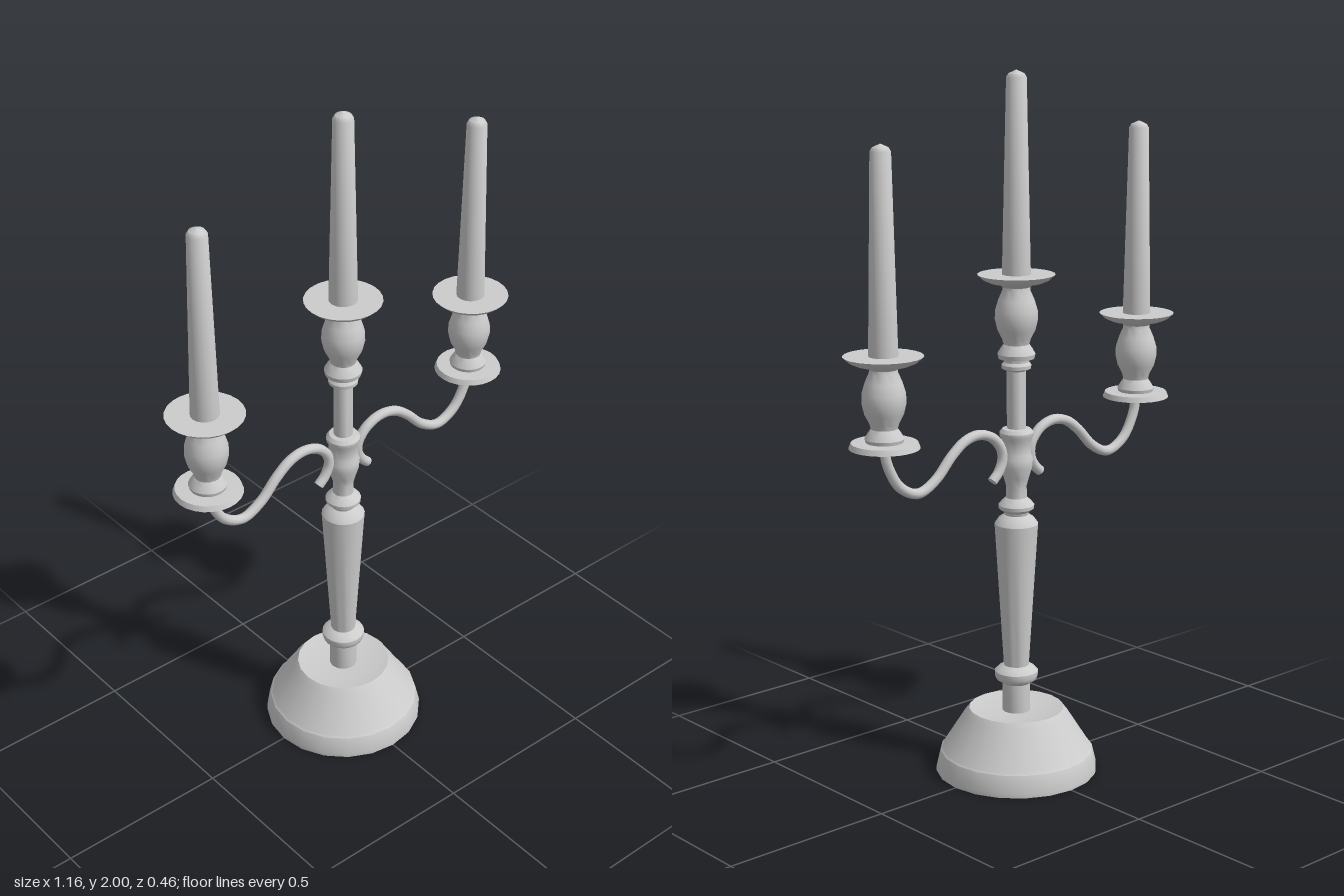
import * as THREE from 'three';
import { toCreasedNormals } from 'three/addons/utils/BufferGeometryUtils.js';

const material = new THREE.MeshStandardMaterial({ color: 0xcccccc, side: THREE.DoubleSide });

// Turned part from [radius, height] pairs, listed from bottom to top
function turned(name, profile, sides = 20) {
  const points = profile.map(([r, y]) => new THREE.Vector2(r, y));
  const mesh = new THREE.Mesh(toCreasedNormals(new THREE.LatheGeometry(points, sides), 0.65), material);
  mesh.name = name;
  return mesh;
}

// Bulb-shaped cup with a flared drip pan; y = 0 is the pan's top
function candleHolder() {
  const group = new THREE.Group();
  group.add(turned('cup', [
    [0, -0.235], [0.05, -0.235], [0.053, -0.222], [0.045, -0.208], [0.036, -0.195], [0.04, -0.18],
    [0.053, -0.155], [0.06, -0.125], [0.059, -0.1], [0.05, -0.07], [0.039, -0.045],
    [0.038, -0.035], [0.05, -0.027], [0.075, -0.022], [0.093, -0.014], [0.108, 0], [0, 0],
  ], 24));
  group.add(turned('candle', [[0.04, -0.005], [0.028, 0.535], [0.022, 0.545], [0, 0.555]], 16));
  return group;
}

// Curved arm with a curled tail, and the holder it carries
function sideArm(side) {
  const group = new THREE.Group();
  group.name = side > 0 ? 'leftArm' : 'rightArm';
  const path = new THREE.CatmullRomCurve3([
    [0.472, 1.04], [0.462, 0.985], [0.42, 0.915], [0.357, 0.886], [0.295, 0.913], [0.237, 0.97],
    [0.19, 1.003], [0.14, 1.013], [0.09, 0.997], [0.057, 0.96], [0.053, 0.925], [0.068, 0.893], [0.09, 0.872],
  ].map(([x, y]) => new THREE.Vector3(side * x, y, 0)));
  const branch = new THREE.Mesh(new THREE.TubeGeometry(path, 60, 0.0145, 10), material);
  branch.name = 'branch';
  group.add(branch);

  // Closing discs for the tube
  for (const t of [0, 1]) {
    const cap = new THREE.Mesh(new THREE.CircleGeometry(0.0145, 10), material);
    cap.name = 'branchEnd';
    const end = path.getPointAt(t);
    cap.position.copy(end);
    cap.lookAt(end.clone().addScaledVector(path.getTangentAt(t), t ? 1 : -1));
    group.add(cap);
  }

  const plate = turned('plate', [[0, 1.032], [0.096, 1.032], [0.09, 1.047], [0, 1.05]], 24);
  plate.position.x = side * 0.47;
  const holder = candleHolder();
  holder.name = 'sideCandleHolder';
  holder.position.set(side * 0.47, 1.28, 0);
  group.add(plate, holder);
  return group;
}

export function createModel() {
  const model = new THREE.Group();
  model.name = 'candelabra';

  // Weighted foot with a slightly dished top
  model.add(turned('base', [
    [0, 0], [0.232, 0], [0.232, 0.012], [0.22, 0.062], [0.215, 0.066],
    [0.148, 0.172], [0.136, 0.187], [0.1, 0.18], [0, 0.178],
  ], 20));

  // Lower column: neck, ring, tapered shaft and collar
  model.add(turned('column', [
    [0.04, 0.178], [0.04, 0.262], [0.058, 0.274], [0.062, 0.285], [0.062, 0.298], [0.052, 0.308],
    [0.036, 0.316], [0.062, 0.735], [0.05, 0.752], [0.034, 0.762], [0.036, 0.77],
    [0.05, 0.78], [0.051, 0.79], [0.042, 0.801], [0.03, 0.812],
  ], 20));

  // Hub that the arms spring from
  model.add(turned('hub', [
    [0.03, 0.812], [0.029, 0.845], [0.036, 0.87], [0.045, 0.9], [0.047, 0.925],
    [0.041, 0.938], [0.042, 0.98], [0.048, 0.99], [0.048, 1.0], [0.04, 1.01], [0.026, 1.012],
  ], 20));

  // Upper stem with a double ring
  model.add(turned('upperStem', [
    [0.027, 1.005], [0.027, 1.175], [0.041, 1.182], [0.042, 1.192], [0.035, 1.2],
    [0.035, 1.222], [0.041, 1.229], [0.041, 1.24], [0, 1.24],
  ], 20));

  const centre = candleHolder();
  centre.name = 'centreCandleHolder';
  centre.position.y = 1.445;
  model.add(centre, sideArm(1), sideArm(-1));
  return model;
}
